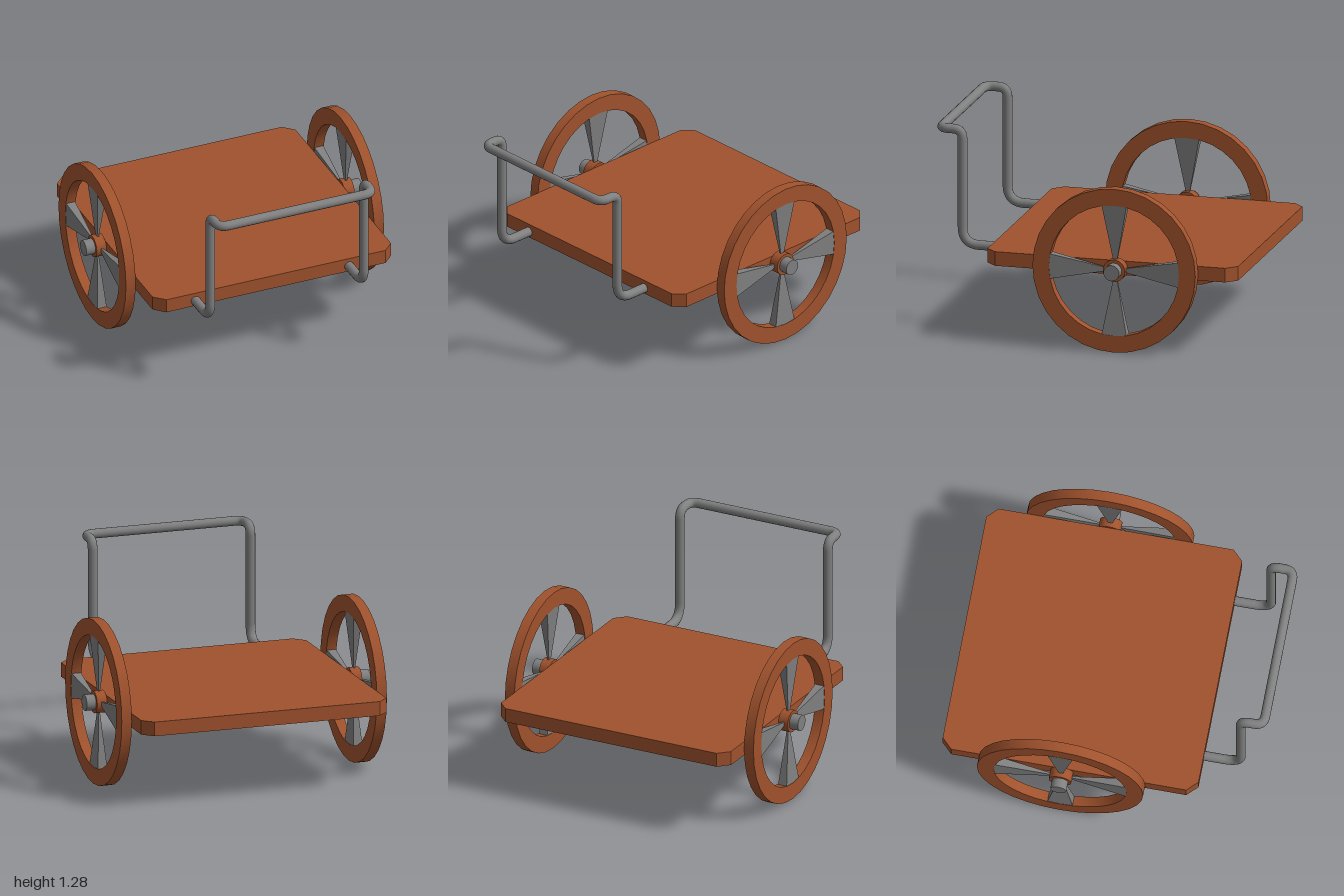
import * as THREE from 'three';
import { toCreasedNormals } from 'three/addons/utils/BufferGeometryUtils.js';

const wood = new THREE.MeshStandardMaterial({ color: 0xa0522d });
const metal = new THREE.MeshStandardMaterial({ color: 0x808080 });

function add(parent, name, geometry, material) {
  const mesh = new THREE.Mesh(geometry, material);
  mesh.name = name;
  parent.add(mesh);
  return mesh;
}

// Flat ring around the x axis, from x = 0 to x = width
function ring(outer, inner, width) {
  const shape = new THREE.Shape().absarc(0, 0, outer, 0, Math.PI * 2);
  shape.holes.push(new THREE.Path().absarc(0, 0, inner, 0, Math.PI * 2, true));
  const geo = new THREE.ExtrudeGeometry(shape, { depth: width, bevelEnabled: false, curveSegments: 16 });
  return toCreasedNormals(geo.rotateY(Math.PI / 2), 0.5);
}

// Polyline with rounded corners, as a curve
function roundedPath(points, radii) {
  const path = new THREE.CurvePath();
  let from = points[0];
  for (let i = 1; i < points.length - 1; i++) {
    const p = points[i], r = radii[i - 1];
    const a = points[i - 1].clone().sub(p).setLength(r).add(p);
    const b = points[i + 1].clone().sub(p).setLength(r).add(p);
    path.add(new THREE.LineCurve3(from, a));
    path.add(new THREE.QuadraticBezierCurve3(a, p, b));
    from = b;
  }
  path.add(new THREE.LineCurve3(from, points[points.length - 1]));
  return path;
}

// Wheel in the yz plane, inner face at x = 0, outer side towards +x
function makeWheel(name) {
  const wheel = new THREE.Group();
  wheel.name = name;
  const width = 0.065;
  add(wheel, 'rim', ring(0.52, 0.415, width), wood);
  add(wheel, 'hub', ring(0.07, 0.045, width), wood);
  const axle = new THREE.CylinderGeometry(0.05, 0.05, 0.135, 24).rotateZ(Math.PI / 2);
  add(wheel, 'axleEnd', axle, metal).position.x = 0.0575;

  // Four flattened spokes that narrow towards the hub
  for (let i = 0; i < 4; i++) {
    const spoke = new THREE.CylinderGeometry(0.08 * Math.SQRT2, 0.01 * Math.SQRT2, 0.365, 4, 1)
      .rotateY(Math.PI / 4)
      .scale(0.38, 1, 1)
      .translate(width / 2, 0.2325, 0)
      .rotateX(i * Math.PI / 2);
    add(wheel, 'spoke', toCreasedNormals(spoke, 0.3), metal);
  }
  return wheel;
}

export function createModel() {
  const cart = new THREE.Group();
  cart.name = 'handCart';

  // Deck with cut corners
  const w = 0.8, back = -1, front = 0.6, c = 0.065;
  const outline = new THREE.Shape([
    [-w + c, back], [w - c, back], [w, back + c], [w, front - c],
    [w - c, front], [-w + c, front], [-w, front - c], [-w, back + c],
  ].map(([x, z]) => new THREE.Vector2(x, z)));
  const deck = new THREE.ExtrudeGeometry(outline, { depth: 0.09, bevelEnabled: false });
  add(cart, 'deck', deck.rotateX(Math.PI / 2), wood).position.y = 0.572;

  // Wheels on both sides
  for (const side of [1, -1]) {
    const wheel = makeWheel(side > 0 ? 'leftWheel' : 'rightWheel');
    wheel.position.set(side * w, 0.522, -0.2425);
    if (side < 0) wheel.rotation.y = Math.PI;
    cart.add(wheel);
  }

  // Bent push handle, slightly off centre
  const half = 0.515, rail = [[0.59, 0.52], [0.828, 0.52], [0.828, 1.25], [0.97, 1.25]];
  const left = rail.map(([z, y]) => new THREE.Vector3(-half, y, z));
  const right = rail.map(([z, y]) => new THREE.Vector3(half, y, z)).reverse();
  const path = roundedPath([...left, ...right], [0.11, 0.06, 0.06, 0.06, 0.06, 0.11]);
  const handle = new THREE.TubeGeometry(path, 240, 0.03, 14, false);
  add(cart, 'handle', handle, metal).position.x = -0.025;

  return cart;
}
